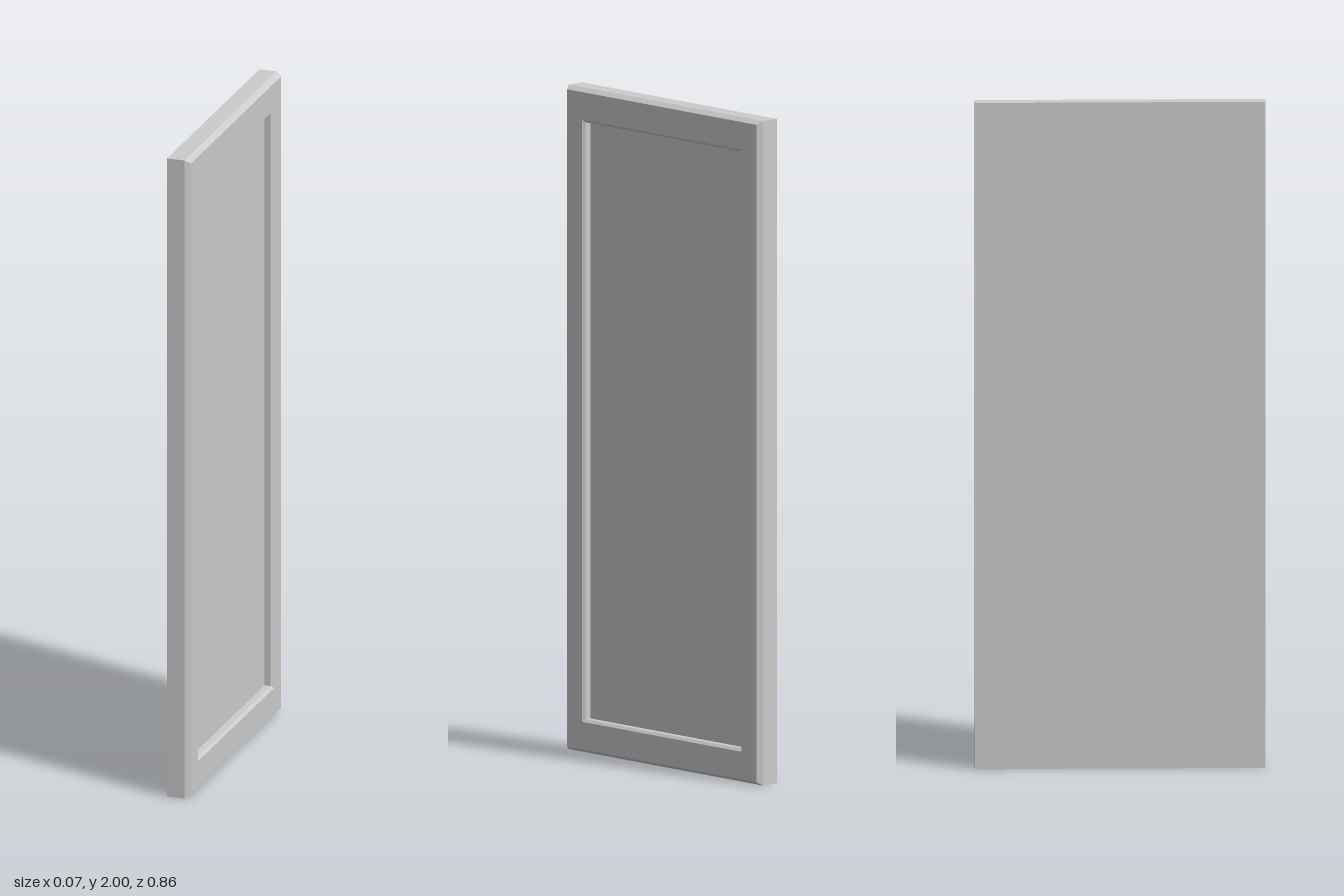
import * as THREE from 'three';

const material = new THREE.MeshStandardMaterial({ color: 0xcccccc, flatShading: true });

// Lofts flat faces through rectangular sections [x, half width in z, half height in y].
function loft(name, sections, capStart, capEnd) {
  const loops = sections.map(([x, w, h]) => [
    [x, 1 - h, w], [x, 1 - h, -w], [x, 1 + h, -w], [x, 1 + h, w],
  ]);
  const positions = [];
  const quad = (a, b, c, d) => positions.push(...a, ...b, ...c, ...a, ...c, ...d);
  for (let i = 0; i < loops.length - 1; i++) {
    for (let k = 0; k < 4; k++) {
      const n = (k + 1) % 4;
      quad(loops[i][k], loops[i][n], loops[i + 1][n], loops[i + 1][k]);
    }
  }
  if (capStart) quad(...[...loops[0]].reverse());
  if (capEnd) quad(...loops[loops.length - 1]);
  const geometry = new THREE.BufferGeometry();
  geometry.setAttribute('position', new THREE.Float32BufferAttribute(positions, 3));
  geometry.computeVertexNormals();
  const mesh = new THREE.Mesh(geometry, material);
  mesh.name = name;
  return mesh;
}

export function createModel() {
  const door = new THREE.Group();
  door.name = 'panelDoor';

  const back = [-0.036, 0.431, 1];
  const shoulder = [0.019, 0.431, 1];
  const faceOuter = [0.036, 0.42, 0.989];
  const faceInner = [0.036, 0.354, 0.906];
  const bevelEnd = [0.028, 0.346, 0.898];
  const floor = [0.009, 0.346, 0.898];

  // Slab with a plain back, square sides and a chamfered front edge
  door.add(loft('slab', [back, shoulder, faceOuter], true, false));
  // Flat border around the recess
  door.add(loft('frameFace', [faceOuter, faceInner], false, false));
  // Bevelled lip, straight recess walls and the sunken panel
  door.add(loft('recessedPanel', [faceInner, bevelEnd, floor], false, true));

  return door;
}
